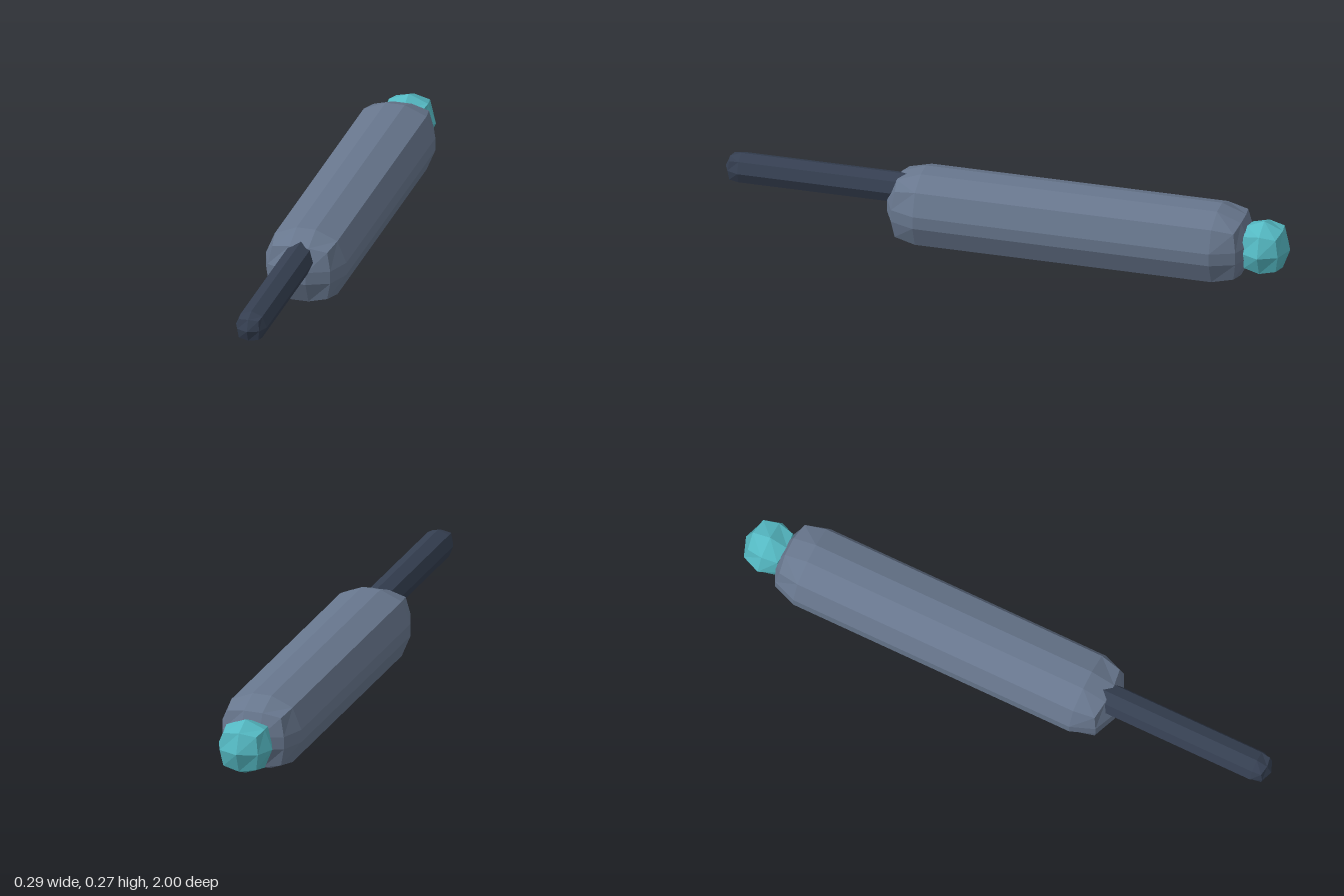
import * as THREE from 'three';

const slate = new THREE.MeshStandardMaterial({ color: 0x68778e });
const darkSlate = new THREE.MeshStandardMaterial({ color: 0x353f51 });
const teal = new THREE.MeshStandardMaterial({ color: 0x54b8c2 });

// Faceted rounded block. Each axis gives its half-extent at the face, edge
// and corner vertices, plus the half-extent of the inner grid lines.
function roundedBlock(name, material, centre, segments, axes) {
  const indexed = new THREE.BoxGeometry(2, 2, 2, ...segments);
  const pos = indexed.attributes.position;
  for (let i = 0; i < pos.count; i++) {
    const v = [pos.getX(i), pos.getY(i), pos.getZ(i)];
    const outer = v.map((c) => Math.abs(c) > 0.99);
    const kind = outer.filter(Boolean).length - 1; // 0 face, 1 edge, 2 corner
    const p = v.map((c, a) => {
      const sign = Math.abs(c) < 0.01 ? 0 : Math.sign(c);
      return sign * (outer[a] ? axes[a].outer[kind] : axes[a].inner);
    });
    pos.setXYZ(i, ...p);
  }
  const geometry = indexed.toNonIndexed();
  geometry.computeVertexNormals(); // flat facets
  const mesh = new THREE.Mesh(geometry, material);
  mesh.name = name;
  mesh.position.set(...centre);
  return mesh;
}

export function createModel() {
  const model = new THREE.Group();
  model.name = 'model';

  // Long main body
  model.add(roundedBlock('body', slate, [0, 0.135, -0.225], [3, 3, 3], [
    { outer: [0.144, 0.112, 0.098], inner: 0.034 },
    { outer: [0.133, 0.1, 0.087], inner: 0.0225 },
    { outer: [0.645, 0.61, 0.6], inner: 0.525 },
  ]));

  // Thin rod out of the front, running into the body
  const rodSide = { outer: [0.055, 0.039, 0.035], inner: 0 };
  model.add(roundedBlock('rod', darkSlate, [0, 0.19, 0.65], [2, 2, 3], [
    rodSide, rodSide,
    { outer: [0.35, 0.334, 0.328], inner: 0.295 },
  ]));

  // Ball on the back end
  const ballSide = { outer: [0.098, 0.07, 0.06], inner: 0 };
  model.add(roundedBlock('ball', teal, [0, 0.137, -0.908], [2, 2, 2], [
    ballSide, ballSide,
    { outer: [0.092, 0.066, 0.056], inner: 0 },
  ]));

  return model;
}
